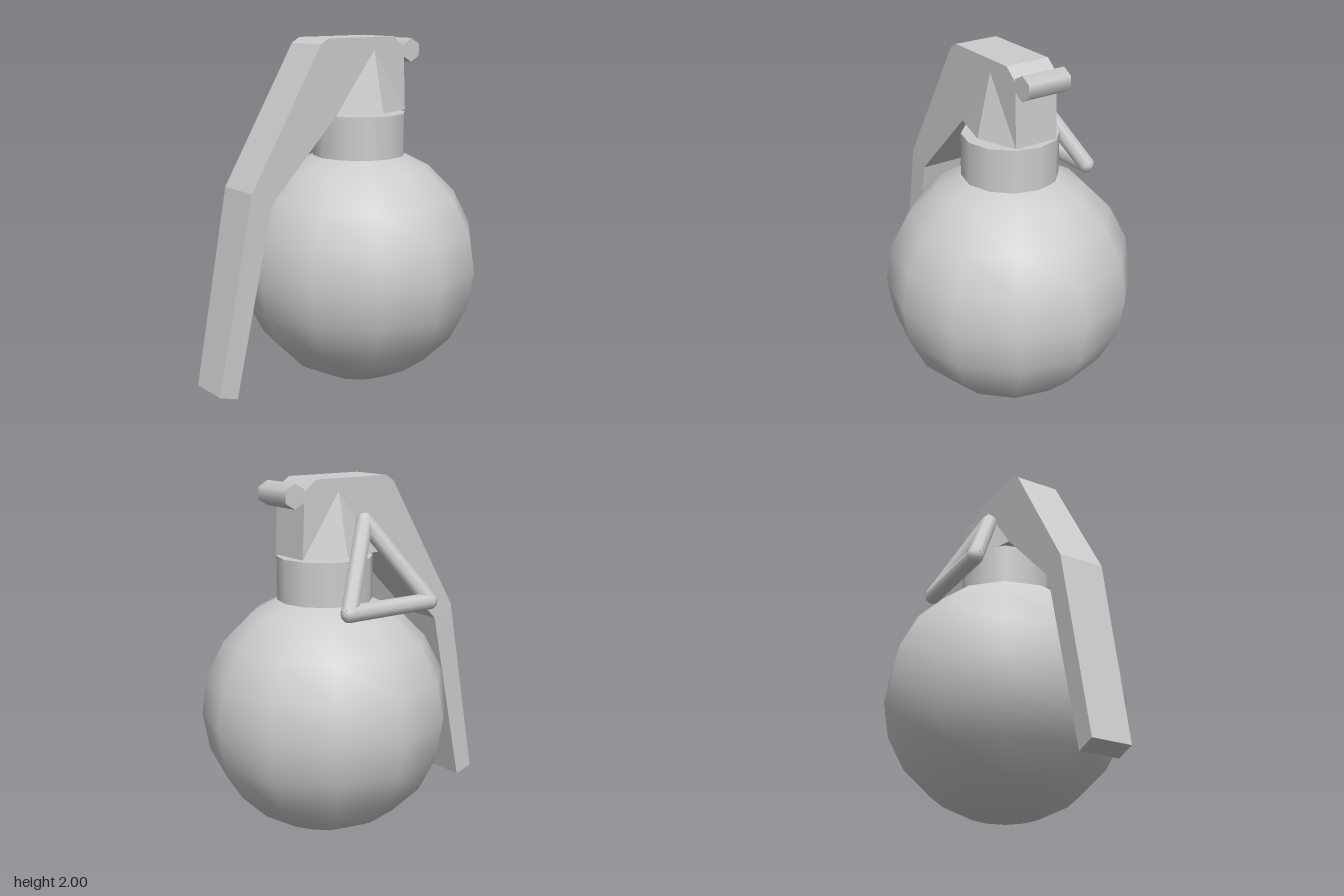
import * as THREE from 'three';
import { ConvexGeometry } from 'three/addons/geometries/ConvexGeometry.js';

export function createModel() {
  const model = new THREE.Group();
  const metal = new THREE.MeshStandardMaterial({ color: 0xcccccc });
  metal.name = 'light grey metal';

  const add = (name, geometry, x = 0, y = 0, z = 0, parent = model) => {
    const mesh = new THREE.Mesh(geometry, metal);
    mesh.name = name;
    mesh.position.set(x, y, z);
    parent.add(mesh);
    return mesh;
  };
  const axis = 0.167; // x of the body's centre line

  // Round body and the collar on top of it
  add('body', new THREE.SphereGeometry(0.695, 12, 10), axis, 0.7, 0);
  add('collar', new THREE.CylinderGeometry(0.265, 0.265, 0.32, 12), axis, 1.415, 0);
  add('stem', new THREE.CylinderGeometry(0.065, 0.065, 0.1, 8), axis, 1.58, 0);

  // Lever: bent side profile, slightly narrower at its free end
  const profile = [
    [-0.155, 2], [-0.205, 1.97], [-0.655, 1.22], [-0.87, 0.145], [-0.76, 0.11],
    [-0.53, 1.15], [-0.1, 1.585], [0.4, 1.585], [0.385, 1.94], [0.31, 2],
  ].map(([x, y]) => new THREE.Vector2(x, y));
  const lever = new THREE.ExtrudeGeometry(new THREE.Shape(profile), { depth: 0.26, bevelEnabled: false });
  lever.translate(0, 0, -0.13);
  const p = lever.attributes.position;
  for (let i = 0; i < p.count; i++) {
    if (p.getY(i) < 0.5) p.setZ(i, p.getZ(i) * 0.87);
  }
  lever.computeVertexNormals();
  add('lever', lever);

  // Faceted cheeks that flare out at the foot of the lever head
  const cheeks = [];
  for (const s of [-1, 1]) {
    cheeks.push(
      new THREE.Vector3(axis, 1.93, 0.13 * s),
      new THREE.Vector3(-0.1, 1.585, 0.13 * s),
      new THREE.Vector3(0.399, 1.585, 0.13 * s),
      new THREE.Vector3(axis, 1.585, 0.212 * s),
    );
  }
  add('leverCheeks', new ConvexGeometry(cheeks));

  // Six-sided hinge roll across the head
  const hinge = new THREE.CylinderGeometry(0.067, 0.067, 0.26, 6);
  hinge.rotateX(Math.PI / 2);
  add('hingeRoll', hinge, 0.443, 1.92, 0);

  // Triangular pull ring leaning against the back
  const ring = new THREE.Group();
  ring.name = 'pullRing';
  model.add(ring);
  const corners = [[0.04, 1.77, -0.19], [0.31, 1.338, -0.415], [-0.23, 1.338, -0.415]]
    .map((c) => new THREE.Vector3(...c));
  corners.forEach((a, i) => {
    const b = corners[(i + 1) % 3];
    const dir = b.clone().sub(a);
    const mid = a.clone().add(b).multiplyScalar(0.5);
    const bar = add('ringBar', new THREE.CylinderGeometry(0.047, 0.047, dir.length(), 8), mid.x, mid.y, mid.z, ring);
    bar.quaternion.setFromUnitVectors(new THREE.Vector3(0, 1, 0), dir.normalize());
    add('ringCorner', new THREE.SphereGeometry(0.047, 8, 6), a.x, a.y, a.z, ring);
  });

  return model;
}
